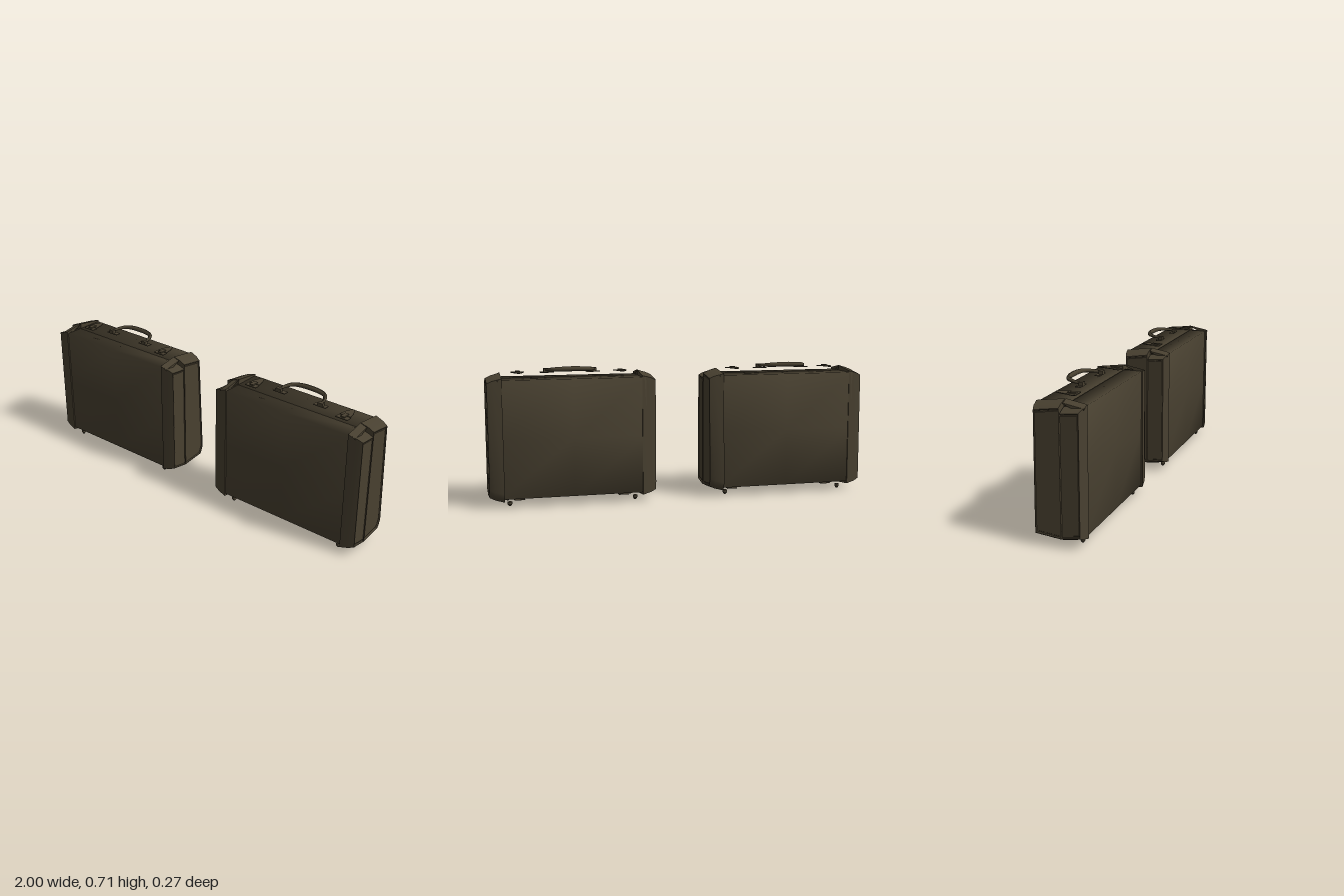
import * as THREE from 'three';
import { mergeVertices, toCreasedNormals } from 'three/addons/utils/BufferGeometryUtils.js';

const leather = new THREE.MeshStandardMaterial({ color: 0x484030, side: THREE.DoubleSide });
leather.name = 'dark olive leather';

function add(parent, name, geometry, x = 0, y = 0, z = 0) {
  const mesh = new THREE.Mesh(geometry, leather);
  mesh.name = name;
  mesh.position.set(x, y, z);
  parent.add(mesh);
  return mesh;
}

// Softly padded shell: shared corners give gently bent normals
function paddedBox(w, h, d) {
  const g = new THREE.BoxGeometry(w, h, d, 2, 2, 1);
  g.deleteAttribute('normal');
  g.deleteAttribute('uv');
  const merged = mergeVertices(g);
  merged.computeVertexNormals();
  return merged;
}

// End cap outlines as [z, y], from the seam bottom round to the seam top
const FRONT = [[0.034, 0.02], [0.134, 0.036], [0.134, 0.656], [0.085, 0.651], [0.034, 0.648]];
const BACK = [[0.03, 0.02], [-0.112, 0.035], [-0.114, 0.08], [-0.108, 0.655], [0.03, 0.674]];
const BACK_BULGED = [[0.03, 0.02], [-0.112, 0.034], [-0.123, 0.05], [-0.135, 0.08], [-0.109, 0.655], [0.03, 0.674]];

// [x, inset] steps: inner lip, wide edge, shoulder, end rim, grooves, end panel
const STEPS = [[0.355, 0.025], [0.355, 0], [0.4, 0.012], [0.428, 0.025], [0.428, 0.029],
  [0.421, 0.031], [0.421, 0.036], [0.424, 0.038]];

function capGeometry(outline, side, isFront) {
  const n = outline.length, seam = outline[0][0], pos = [], index = [];
  for (const [x, inset] of STEPS) {
    for (const [z, y] of outline) {
      pos.push(side * x, 0.345 + (y - 0.345) * (1 - inset / 0.325), seam + (z - seam) * (1 - inset / 0.2));
    }
  }
  const flip = isFront !== (side < 0);
  const tri = (a, b, c) => (flip ? index.push(a, c, b) : index.push(a, b, c));
  for (let i = 0; i < STEPS.length - 1; i++) {
    for (let j = 0; j < n; j++) {
      const k = (j + 1) % n, a = i * n, b = a + n;
      tri(a + j, a + k, b + k);
      tri(a + j, b + k, b + j);
    }
  }
  // end panel
  const last = (STEPS.length - 1) * n;
  for (let j = 1; j < n - 1; j++) tri(last, last + j, last + j + 1);
  const g = new THREE.BufferGeometry();
  g.setAttribute('position', new THREE.Float32BufferAttribute(pos, 3));
  g.setIndex(index);
  return toCreasedNormals(g, 0.5);
}

// Thin corner flap rising to the seam above the front cap
function flapGeometry(side) {
  const s = new THREE.Shape([[-0.134, 0.652], [-0.085, 0.65], [-0.034, 0.67], [-0.034, 0.675], [-0.134, 0.657]]
    .map(p => new THREE.Vector2(...p)));
  const g = new THREE.ExtrudeGeometry(s, { depth: 0.035, bevelEnabled: false });
  g.rotateY(Math.PI / 2);
  g.translate(side > 0 ? 0.356 : -0.391, 0, 0);
  // slope the flap down toward the end of the case
  const p = g.attributes.position;
  for (let i = 0; i < p.count; i++) p.setY(i, p.getY(i) - (Math.abs(p.getX(i)) - 0.356) * 0.35);
  g.computeVertexNormals();
  return g;
}

function createLatch() {
  const latch = new THREE.Group();
  latch.name = 'latch';
  add(latch, 'latchPlate', new THREE.BoxGeometry(0.066, 0.004, 0.03), 0, 0.674, 0.038);
  const s = new THREE.Shape([[-0.03, -0.02], [0.03, -0.02], [0.022, 0.02], [0.006, 0.055], [-0.006, 0.055], [-0.022, 0.02]]
    .map(p => new THREE.Vector2(...p)));
  const hasp = new THREE.ExtrudeGeometry(s, { depth: 0.004, bevelEnabled: false });
  hasp.rotateX(-Math.PI / 2);
  add(latch, 'latchHasp', hasp, 0, 0.674, 0);
  add(latch, 'latchCatch', new THREE.BoxGeometry(0.022, 0.006, 0.04), 0, 0.679, 0.024);
  return latch;
}

function createHandle() {
  const handle = new THREE.Group();
  handle.name = 'handle';
  const path = new THREE.CatmullRomCurve3([[-0.122, 0.686, 0.004], [-0.116, 0.689, -0.03], [-0.092, 0.693, -0.068],
    [-0.05, 0.695, -0.082], [0, 0.696, -0.084], [0.05, 0.695, -0.082], [0.092, 0.693, -0.068],
    [0.116, 0.689, -0.03], [0.122, 0.686, 0.004]].map(p => new THREE.Vector3(...p)));
  const grip = new THREE.TubeGeometry(path, 32, 0.012, 8, false);
  // grip swells at the middle and thins at its ends
  const p = grip.attributes.position, c = new THREE.Vector3(), v = new THREE.Vector3();
  for (let i = 0; i < p.count; i++) {
    const t = Math.floor(i / 9) / 32;
    path.getPointAt(t, c);
    v.fromBufferAttribute(p, i).sub(c).multiplyScalar(0.5 + 0.55 * Math.sin(Math.PI * t)).add(c);
    p.setXYZ(i, v.x, v.y, v.z);
  }
  grip.computeVertexNormals();
  add(handle, 'grip', grip);
  for (const s of [-1, 1]) {
    add(handle, 'handlePlate', new THREE.BoxGeometry(0.07, 0.004, 0.028), s * 0.118, 0.674, 0.002);
    add(handle, 'handleMount', new THREE.BoxGeometry(0.028, 0.018, 0.02), s * 0.122, 0.684, 0.008);
  }
  return handle;
}

function createCase() {
  const suitcase = new THREE.Group();
  suitcase.name = 'suitcase';
  // two shells with a narrow gap at the seam
  add(suitcase, 'frontShell', paddedBox(0.75, 0.6, 0.093), 0, 0.347, 0.0805);
  add(suitcase, 'backShell', paddedBox(0.75, 0.6, 0.136), 0, 0.347, -0.038);
  for (const side of [-1, 1]) {
    add(suitcase, 'frontEndCap', capGeometry(FRONT, side, true));
    add(suitcase, 'backEndCap', capGeometry(side > 0 ? BACK_BULGED : BACK, side, false));
    add(suitcase, 'cornerFlap', flapGeometry(side));

    const latch = createLatch();
    latch.position.x = side * 0.265;
    suitcase.add(latch);

    // bottom hinges and feet
    add(suitcase, 'hinge', new THREE.BoxGeometry(0.055, 0.003, 0.05), side * 0.272, 0.021, 0.01);
    for (const z of [0.091, -0.047]) {
      add(suitcase, 'foot', new THREE.CylinderGeometry(0.012, 0.012, 0.013, 8), side * 0.325, 0.0165, z);
      add(suitcase, 'footTip', new THREE.CylinderGeometry(0.012, 0.005, 0.01, 8), side * 0.325, 0.005, z);
    }
  }
  suitcase.add(createHandle());
  return suitcase;
}

export function createModel() {
  const model = new THREE.Group();
  model.name = 'suitcases';
  for (const x of [-0.572, 0.572]) {
    const suitcase = createCase();
    suitcase.position.x = x;
    model.add(suitcase);
  }
  return model;
}
